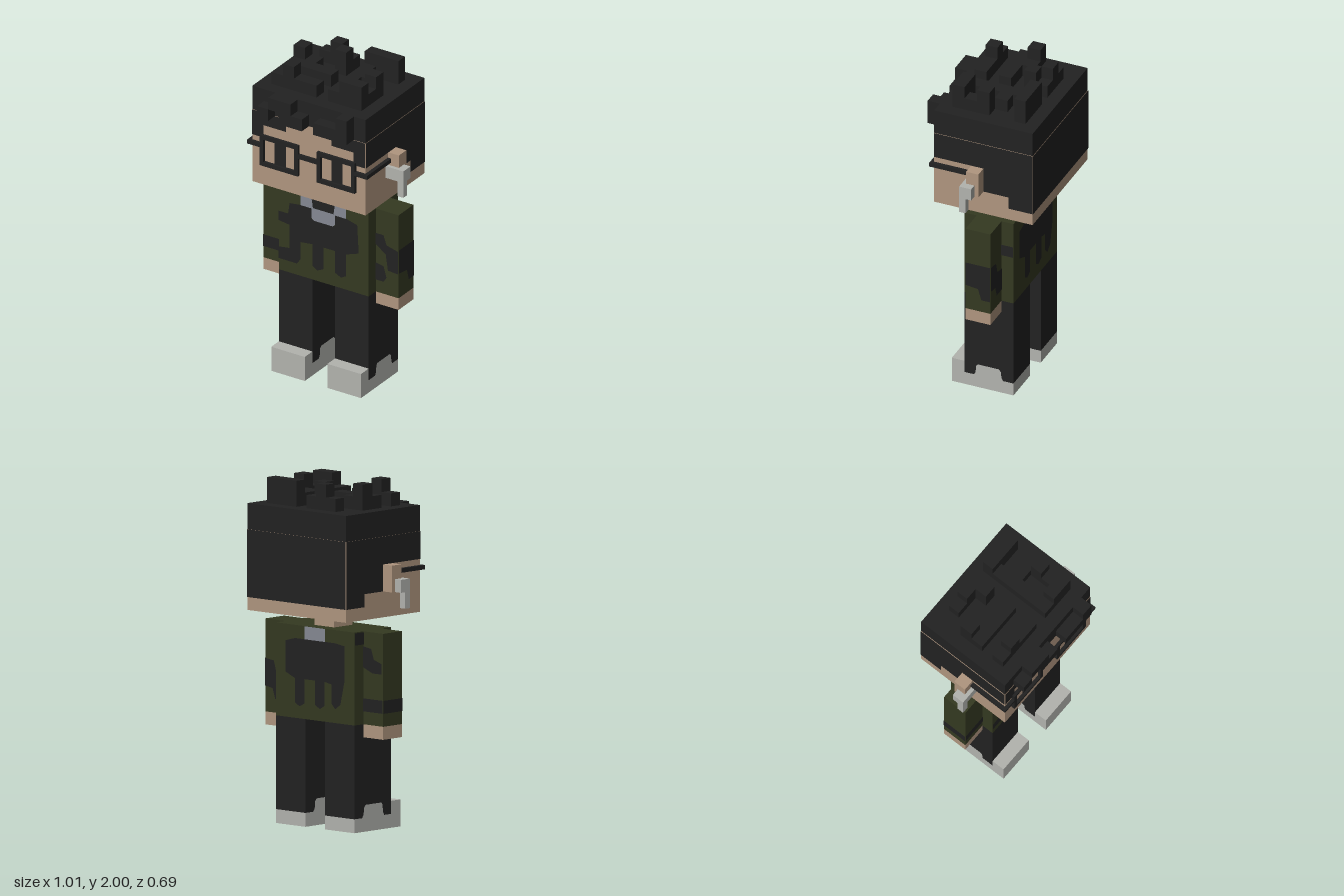
import * as THREE from 'three';

const mat = (name, color) => {
  const m = new THREE.MeshStandardMaterial({ color });
  m.name = name;
  return m;
};

export function createModel() {
  const root = new THREE.Group();
  root.name = 'blockFigure';
  const black = mat('black', 0x222222);
  const skin = mat('skin', 0xb0967f);
  const green = mat('olive green', 0x343921);
  const grey = mat('light grey', 0xb2b3ae);
  const collarGrey = mat('collar grey', 0x858993);

  const add = (name, geo, m) => {
    const mesh = new THREE.Mesh(geo, m);
    mesh.name = name;
    root.add(mesh);
    return mesh;
  };

  // Box given by its extents on each axis
  const box = (name, m, x0, x1, y0, y1, z0, z1) =>
    add(name, new THREE.BoxGeometry(x1 - x0, y1 - y0, z1 - z0), m)
      .position.set((x0 + x1) / 2, (y0 + y1) / 2, (z0 + z1) / 2);

  // The same box on both sides, given for the +x side
  const pair = (name, m, x0, x1, ...rest) => {
    box(name + 'Left', m, x0, x1, ...rest);
    box(name + 'Right', m, -x1, -x0, ...rest);
  };

  // Flat painted patch; points are [x or z, y], at = face position
  const paint = (name, m, face, at, pts, lift = 0.004) => {
    const flip = face === 'back' || face === 'left' ? -1 : 1;
    const shape = new THREE.Shape(pts.map(([u, y]) => new THREE.Vector2(u * flip, y)));
    const mesh = add(name, new THREE.ShapeGeometry(shape), m);
    mesh.rotation.y = { front: 0, back: Math.PI, left: Math.PI / 2, right: -Math.PI / 2 }[face];
    const d = at + lift;
    mesh.position.set(face === 'left' ? d : face === 'right' ? -d : 0, 0,
      face === 'front' ? d : face === 'back' ? -d : 0);
  };
  const rect = (u0, u1, y0, y1) => [[u0, y0], [u1, y0], [u1, y1], [u0, y1]];
  const mirror = (pts) => pts.map(([u, y]) => [-u, y]);

  // Head and neck
  box('head', skin, -0.385, 0.385, 1.235, 1.7, -0.345, 0.27);
  box('hairCap', black, -0.385, 0.385, 1.7, 1.85, -0.345, 0.27);
  box('neck', skin, -0.077, 0.077, 1.155, 1.235, -0.115, 0.04);

  // Hairline around the head
  const temple = [[-0.385, 1.7], [-0.385, 1.54], [-0.305, 1.54], [-0.305, 1.62], [-0.155, 1.62], [-0.155, 1.7]];
  paint('hairlineFront', black, 'front', 0.27, temple);
  paint('hairlineFront', black, 'front', 0.27, mirror(temple));
  const sideHair = [[0.27, 1.7], [0.27, 1.54], [-0.04, 1.54], [-0.04, 1.385], [-0.195, 1.385],
    [-0.195, 1.31], [-0.345, 1.31], [-0.345, 1.7]];
  for (const face of ['left', 'right']) paint('hairlineSide', black, face, 0.385, sideHair);
  paint('hairlineBack', black, 'back', 0.345, rect(-0.385, 0.385, 1.31, 1.7));

  // Fringe blocks: x0, x1, y0, y1
  for (const f of [[-0.305, -0.23, 1.7, 1.775], [-0.23, -0.077, 1.775, 1.85], [-0.155, 0, 1.7, 1.775],
    [0.077, 0.23, 1.7, 1.775], [0.23, 0.305, 1.7, 1.85]]) box('fringe', black, ...f, 0.27, 0.345);

  // Low and tall tufts on the crown: x0, x1, z0, z1
  const tufts = (name, top, list) => list.forEach(([x0, x1, z0, z1]) => box(name, black, x0, x1, 1.85, top, z0, z1));
  tufts('lowTuft', 1.925, [
    [-0.23, 0, -0.265, -0.195], [-0.305, 0, -0.04, 0.037], [-0.23, -0.155, -0.12, -0.04],
    [-0.305, 0, 0.115, 0.19], [0.077, 0.155, -0.195, 0.19], [0.155, 0.23, -0.12, -0.04],
    [0.23, 0.305, 0.037, 0.115]]);
  tufts('tallTuft', 2, [
    [0.077, 0.305, -0.265, -0.195], [-0.155, -0.077, -0.265, -0.195], [-0.077, 0, -0.195, -0.12],
    [-0.305, -0.23, -0.12, -0.04], [0.23, 0.305, -0.04, 0.037], [-0.23, -0.155, 0.115, 0.19],
    [0.155, 0.305, 0.115, 0.19]]);

  // Ears and earrings
  pair('ear', skin, 0.385, 0.46, 1.385, 1.54, -0.04, 0.037);
  pair('earring', grey, 0.385, 0.505, 1.385, 1.46, -0.015, 0.06);
  pair('earringDrop', grey, 0.465, 0.505, 1.29, 1.385, 0.02, 0.06);

  // Eyes and glasses
  for (const s of [-1, 1]) {
    paint('eye', black, 'front', 0.27, rect(0.193 * s - 0.038, 0.193 * s + 0.038, 1.385, 1.54));
    const v = (p) => p.map(([x, y]) => new THREE.Vector2(x, y));
    const rim = new THREE.Shape(v(rect(-0.13, 0.13, 1.365, 1.56)));
    rim.holes.push(new THREE.Path(v(rect(-0.105, 0.105, 1.39, 1.535))));
    add('glassesRim', new THREE.ExtrudeGeometry(rim, { depth: 0.02, bevelEnabled: false }), black)
      .position.set(0.193 * s, 0, 0.27);
  }
  box('glassesBridge', black, -0.065, 0.065, 1.48, 1.505, 0.27, 0.29);
  pair('glassesHinge', black, 0.32, 0.408, 1.48, 1.505, 0.27, 0.29);
  pair('glassesTemple', black, 0.385, 0.408, 1.48, 1.505, 0.037, 0.27);

  // Torso, sleeves and hands
  box('torso', green, -0.305, 0.305, 0.62, 1.155, -0.19, 0.115);
  pair('sleeve', green, 0.305, 0.46, 0.62, 1.155, -0.115, 0.04);
  pair('hand', skin, 0.305, 0.46, 0.545, 0.62, -0.115, 0.04);

  // Camouflage on the torso
  const camo = [[-0.305, 1], [-0.24, 1], [-0.23, 1.07], [-0.155, 1.08], [-0.08, 1.08], [-0.08, 1.01],
    [0.08, 1.01], [0.08, 1.08], [0.155, 1.08], [0.23, 1.06], [0.24, 0.88], [0.155, 0.85], [0.155, 0.71],
    [0.12, 0.69], [0.08, 0.71], [0.08, 0.85], [0, 0.85], [0, 0.71], [-0.04, 0.69], [-0.075, 0.71],
    [-0.075, 0.85], [-0.155, 0.84], [-0.155, 0.73], [-0.18, 0.695], [-0.305, 0.695], [-0.305, 0.77],
    [-0.23, 0.78], [-0.23, 0.93], [-0.305, 0.94]];
  paint('camoFront', black, 'front', 0.115, camo);
  const camoBack = [[-0.23, 0.86], [-0.23, 1.07], [-0.155, 1.08], [0.155, 1.08], [0.23, 1.06], [0.23, 0.88],
    [0.155, 0.85], [0.155, 0.71], [0.12, 0.69], [0.08, 0.71], [0.08, 0.85], [0, 0.85], [0, 0.71],
    [-0.04, 0.69], [-0.075, 0.71], [-0.075, 0.85], [-0.13, 0.84], [-0.13, 0.73], [-0.16, 0.7], [-0.2, 0.73]];
  paint('camoBack', black, 'back', 0.19, camoBack);
  paint('camoSide', black, 'left', 0.305, rect(-0.19, -0.115, 0.93, 1));
  paint('camoSide', black, 'right', 0.305, rect(-0.19, -0.115, 1.08, 1.15));

  // Camouflage on the sleeves
  paint('camoSleeve', black, 'front', 0.04,
    [[0.305, 1], [0.36, 1], [0.38, 0.94], [0.46, 0.92], [0.46, 0.775], [0.39, 0.78], [0.375, 0.88], [0.305, 0.93]]);
  paint('camoSleeve', black, 'front', 0.04, [[0.305, 0.7], [0.36, 0.7], [0.38, 0.73], [0.36, 0.8], [0.305, 0.81]]);
  paint('camoSleeve', black, 'left', 0.46,
    [[0.04, 0.93], [-0.115, 0.93], [-0.115, 0.7], [-0.06, 0.7], [-0.04, 0.77], [0.04, 0.78]]);
  paint('camoSleeve', black, 'back', 0.115, [[0.46, 0.93], [0.39, 0.92], [0.37, 0.85], [0.305, 0.84],
    [0.305, 0.7], [0.38, 0.7], [0.4, 0.76], [0.46, 0.77]]);
  paint('camoSleeve', black, 'front', 0.04, rect(-0.46, -0.305, 0.695, 0.77));
  paint('camoSleeve', black, 'right', 0.46, rect(-0.115, 0.04, 0.695, 0.77));
  paint('camoSleeve', black, 'back', 0.115, rect(-0.46, -0.305, 0.695, 0.77));
  paint('camoSleeve', black, 'back', 0.115,
    [[-0.305, 1.07], [-0.37, 1.06], [-0.39, 1], [-0.45, 0.98], [-0.45, 0.92], [-0.38, 0.92], [-0.305, 0.95]]);

  // Collar and undershirt
  paint('undershirt', black, 'front', 0.115, rect(-0.08, 0.08, 1.08, 1.155));
  paint('collar', collarGrey, 'front', 0.115, [[-0.155, 1.155], [-0.155, 1.08], [-0.08, 1.08], [-0.08, 1.02],
    [-0.065, 1.005], [0.065, 1.005], [0.08, 1.02], [0.08, 1.08], [0.155, 1.08], [0.155, 1.155], [0.08, 1.155],
    [0.07, 1.085], [-0.07, 1.085], [-0.08, 1.155]], 0.006);
  paint('collarBack', collarGrey, 'back', 0.19, rect(-0.08, 0.08, 1.08, 1.155), 0.006);

  // Trousers and shoes
  pair('trouserLeg', black, 0.077, 0.305, 0.08, 0.62, -0.19, 0.115);
  pair('shoeSole', grey, 0.077, 0.305, 0, 0.08, -0.19, 0.195);
  pair('shoeToe', grey, 0.077, 0.305, 0.08, 0.155, 0.115, 0.195);

  // Shoe uppers showing between the trouser hems, on both faces of each leg
  const upper = [[0.055, 0.08], [0.045, 0.1], [0.04, 0.145], [0.03, 0.155], [-0.1, 0.155], [-0.113, 0.14],
    [-0.117, 0.1], [-0.13, 0.08]];
  for (const face of ['left', 'right']) {
    paint('shoeUpper', grey, face, 0.305, upper);
    paint('shoeUpper', grey, face, -0.077, upper);
  }
  return root;
}
